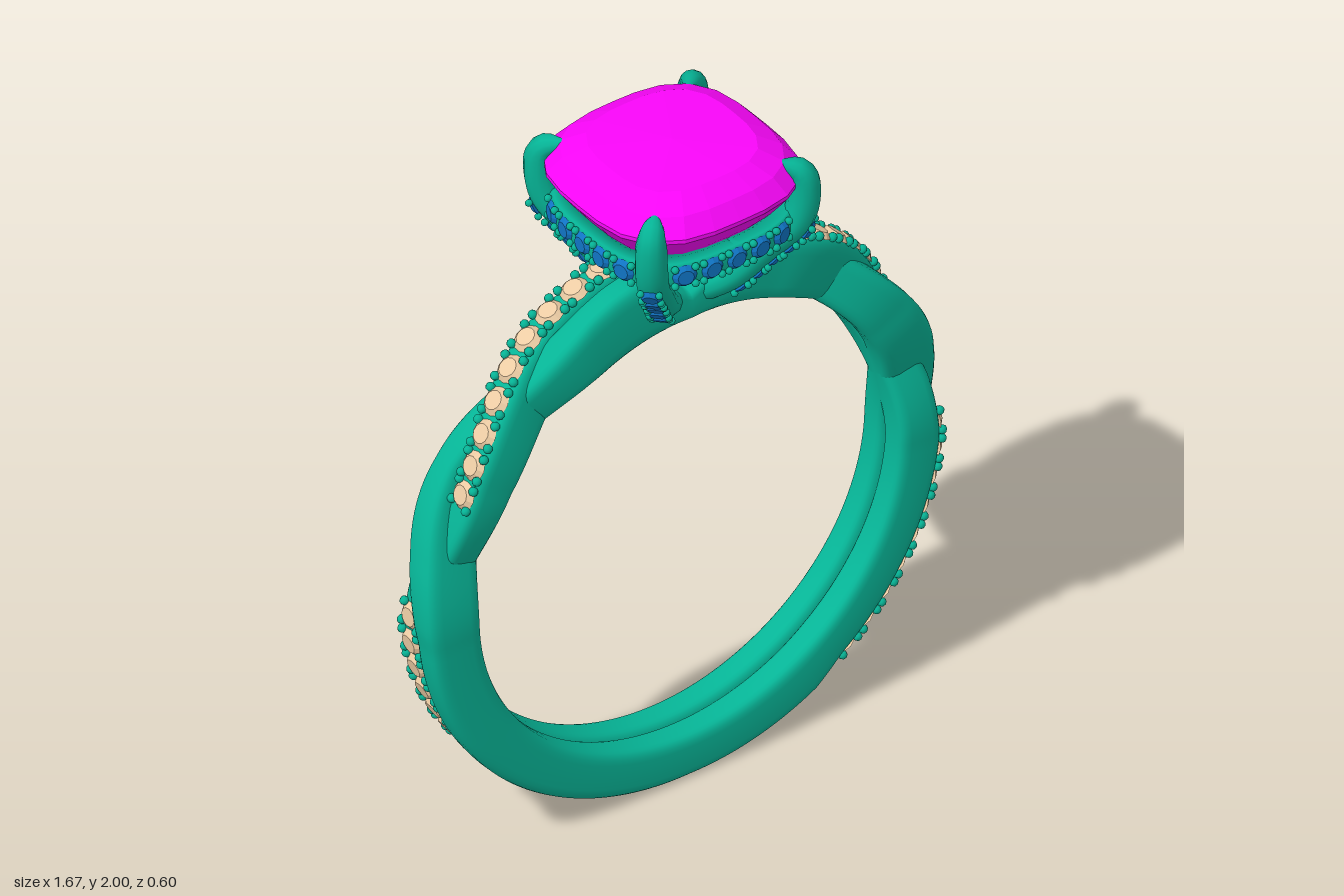
import * as THREE from 'three';
import { mergeGeometries } from 'three/addons/utils/BufferGeometryUtils.js';

const V = (x, y, z) => new THREE.Vector3(x, y, z);
const paint = (color, flatShading = false) => new THREE.MeshStandardMaterial({ color, flatShading });
const metal = paint(0x06b496), violet = paint(0xfa06fa, true);
const tan = paint(0xeccca4, true), blue = paint(0x1074c4, true);
const CENTRE = 0.8, INNER = 0.667;

function part(parent, name, geometry, material) {
  const mesh = new THREE.Mesh(geometry, material);
  mesh.name = name;
  parent.add(mesh);
  return mesh;
}

// Piecewise linear lookup
function lookup(table, t) {
  for (let i = 1; i < table.length; i++) {
    const [a, va] = table[i - 1], [b, vb] = table[i];
    if (t <= b) return va + (vb - va) * Math.max(0, t - a) / (b - a);
  }
  return table[table.length - 1][1];
}

// Strand centre offset, half width and outer radius; angle in degrees from the bottom, + towards +x
function strand(deg) {
  const s = Math.abs(deg);
  const twist = Math.PI * THREE.MathUtils.clamp((s - 86) / 36, 0, 2);
  let outer = lookup([[0, 0.8], [90, 0.828], [104, 0.817], [122, 0.824], [140, 0.828], [164, 0.866], [169, 0.866], [180, 0.755]], s);
  // one strand passes over the other at each crossing
  outer -= 0.02 * Math.sin(twist) * Math.sign(deg);
  // paved stretches sit a little lower
  if (deg > 0) outer -= lookup([[30, 0], [38, 0.022], [90, 0.025], [100, 0.01], [119, 0.02], [140, 0.008], [168, 0.008], [172, 0]], s);
  return { z: 0.047 * Math.cos(twist), half: 0.046 + 0.01 * Math.abs(Math.sin(twist)), outer };
}

function onBand(deg, r, z) {
  const a = THREE.MathUtils.degToRad(deg);
  return V(r * Math.sin(a), CENTRE - r * Math.cos(a), z);
}

// Closed sweep of a rounded-rectangle section around the finger
function strandGeometry() {
  const N = 240, M = 24, pos = [], index = [];
  const soft = (v, p) => Math.sign(v) * Math.abs(v) ** p;
  for (let i = 0; i < N; i++) {
    const deg = -180 + 360 * i / N, { z, half, outer } = strand(deg);
    const mid = (INNER + outer) / 2, depth = (outer - INNER) / 2;
    for (let j = 0; j < M; j++) {
      const t = 2 * Math.PI * j / M;
      pos.push(...onBand(deg, mid + depth * soft(Math.sin(t), 0.5), z + half * soft(Math.cos(t), 0.5)).toArray());
      const a = i * M + j, b = i * M + (j + 1) % M;
      const c = ((i + 1) % N) * M + j, d = ((i + 1) % N) * M + (j + 1) % M;
      index.push(a, b, c, b, d, c);
    }
  }
  const g = new THREE.BufferGeometry();
  g.setAttribute('position', new THREE.Float32BufferAttribute(pos, 3));
  g.setIndex(index);
  g.computeVertexNormals();
  return g;
}

// Row of small stones, each held by four beads
function stoneRow(parent, name, spots, size, gap, material) {
  const stones = [], beads = [];
  for (const { p, along, normal } of spots) {
    const x = along.clone().normalize();
    const y = normal.clone().addScaledVector(x, -normal.dot(x)).normalize();
    const frame = new THREE.Matrix4().makeBasis(x, y, x.clone().cross(y)).setPosition(p);
    const stone = new THREE.CylinderGeometry(size * 0.65, size, size * 0.36, 12);
    stones.push(stone.translate(0, size * 0.16, 0).applyMatrix4(frame));
    for (const sx of [-1, 1]) for (const sz of [-1, 1]) {
      const bead = new THREE.SphereGeometry(size * 0.32, 8, 6);
      beads.push(bead.translate(sx * gap * 0.36, size * 0.12, sz * size * 0.78).applyMatrix4(frame));
    }
  }
  part(parent, name + 'Stones', mergeGeometries(stones), material);
  part(parent, name + 'Beads', mergeGeometries(beads), metal);
}

// Lathe whose round plan is pushed out to a cushion plan
const POWER = 3;
function cushionLathe(profile, segments) {
  const g = new THREE.LatheGeometry(profile.map(p => new THREE.Vector2(...p)), segments);
  const p = g.attributes.position;
  for (let i = 0; i < p.count; i++) {
    const x = p.getX(i), z = p.getZ(i), r = Math.hypot(x, z);
    if (r < 1e-6) continue;
    const k = (Math.abs(x / r) ** POWER + Math.abs(z / r) ** POWER) ** (-1 / POWER);
    p.setX(i, x * k);
    p.setZ(i, z * k);
  }
  g.computeVertexNormals();
  return g;
}

// Half of the shank: one strand with its two paved stretches
function bandHalf() {
  const half = new THREE.Group();
  part(half, 'twistedStrand', strandGeometry(), metal);
  for (const [name, from, to] of [['lowerPave', 40, 89], ['upperPave', 119, 167]]) {
    const spots = [];
    for (let i = 0; i < 9; i++) {
      const deg = from + (to - from) * i / 8;
      const at = d => { const s = strand(d); return onBand(d, s.outer - 0.001, s.z); };
      spots.push({ p: at(deg), along: at(deg + 1).sub(at(deg - 1)), normal: onBand(deg, 1, 0).sub(V(0, CENTRE, 0)) });
    }
    stoneRow(half, name, spots, 0.041, 0.085, tan);
  }
  return half;
}

// Claw prong on the +x +z diagonal, with stones down its outside
function prong() {
  const g = new THREE.Group();
  const path = new THREE.CatmullRomCurve3(
    [[0.025, 1.515], [0.105, 1.58], [0.17, 1.68], [0.23, 1.78], [0.245, 1.88], [0.237, 1.935], [0.2, 1.952]]
      .map(([d, y]) => V(d, y, d)));
  const S = 40, R = 12, tube = new THREE.TubeGeometry(path, S, 1, R), p = tube.attributes.position;
  const radius = t => lookup([[0, 0.042], [0.55, 0.042], [0.7, 0.044], [0.86, 0.042], [0.94, 0.03], [1, 0.012]], t);
  for (let i = 0; i <= S; i++) {
    const c = path.getPointAt(i / S);
    for (let j = 0; j <= R; j++) {
      const k = i * (R + 1) + j, v = V().fromBufferAttribute(p, k).sub(c).multiplyScalar(radius(i / S)).add(c);
      p.setXYZ(k, v.x, v.y, v.z);
    }
  }
  part(g, 'prongShaft', tube, metal);
  for (const t of [0, 1]) {
    part(g, 'prongEnd', new THREE.SphereGeometry(radius(t), 12, 8), metal).position.copy(path.getPointAt(t));
  }
  const spots = [];
  for (let i = 0; i < 5; i++) {
    const t = 0.23 + i * 0.1, along = path.getTangentAt(t);
    const normal = V(1, 0, 1).addScaledVector(along, -along.dot(V(1, 0, 1))).normalize();
    spots.push({ p: path.getPointAt(t).addScaledVector(normal, radius(t) - 0.003), along, normal });
  }
  stoneRow(g, 'prong', spots, 0.032, 0.066, blue);
  return g;
}

// Stones along one side of the halo
function haloSide() {
  const g = new THREE.Group(), E = 0.284, spots = [];
  const at = x => V(x, 1.787, E * (1 - Math.abs(x / E) ** POWER) ** (1 / POWER));
  for (let i = -2; i <= 2; i++) {
    const x = i * 0.077, along = at(x + 0.01).sub(at(x - 0.01));
    spots.push({ p: at(x), along, normal: V(-along.z, 0, along.x) });
  }
  stoneRow(g, 'halo', spots, 0.034, 0.077, blue);
  return g;
}

export function createModel() {
  const ring = new THREE.Group();
  ring.name = 'gemRing';

  for (let i = 0; i < 2; i++) {
    const half = bandHalf();
    half.name = 'bandHalf';
    half.rotation.y = i * Math.PI;
    ring.add(half);
  }

  for (let i = 0; i < 4; i++) {
    for (const [name, make] of [['prong', prong], ['haloSide', haloSide]]) {
      const g = make();
      g.name = name;
      g.rotation.y = i * Math.PI / 2;
      ring.add(g);
    }
  }

  part(ring, 'haloRail', cushionLathe(
    [[0.235, 1.752], [0.276, 1.752], [0.286, 1.762], [0.286, 1.812], [0.276, 1.822], [0.235, 1.822], [0.235, 1.752]], 96), metal);

  // Cushion-cut centre stone: pavilion, girdle, crown, table
  part(ring, 'centreStone', cushionLathe(
    [[0, 1.6], [0.1, 1.68], [0.19, 1.765], [0.255, 1.84], [0.3, 1.903], [0.3, 1.915], [0.262, 1.96], [0.2, 1.993], [0, 2]], 24), violet);

  return ring;
}
